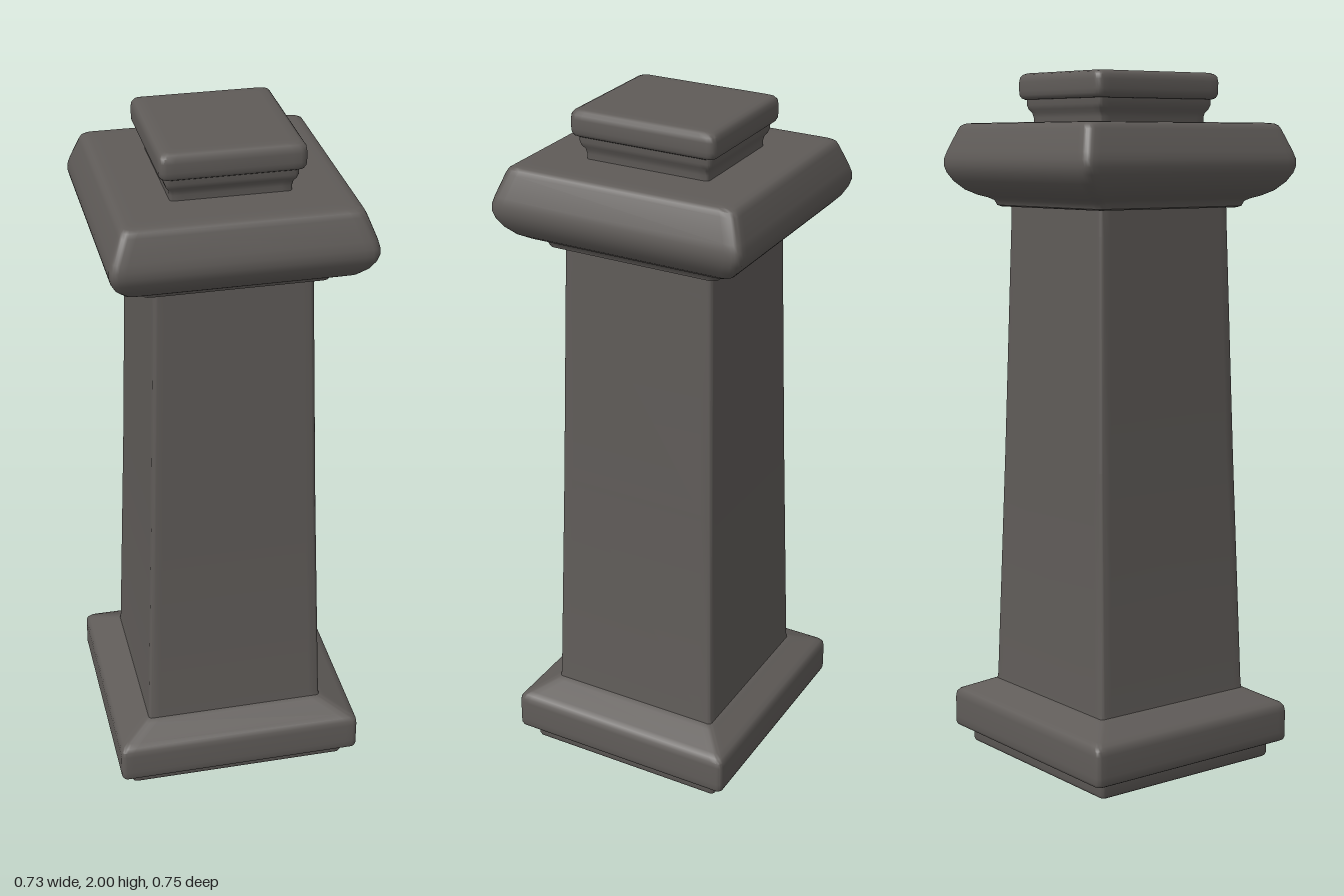
import * as THREE from 'three';
import { toCreasedNormals } from 'three/addons/utils/BufferGeometryUtils.js';

// Rounded rectangle outline, with extra points that keep the flats flat.
function outline(hx, hz, r) {
  const pts = [], steps = 4, ext = 0.02;
  const corners = [[1, 1], [-1, 1], [-1, -1], [1, -1]];
  corners.forEach(([sx, sz], k) => {
    const cx = sx * (hx - r), cz = sz * (hz - r), a0 = k * Math.PI / 2;
    const at = (a, dx, dz) => pts.push([cx + r * Math.cos(a) + dx, cz + r * Math.sin(a) + dz]);
    at(a0, ext * Math.sin(a0), -ext * Math.cos(a0));
    for (let i = 0; i <= steps; i++) at(a0 + (i / steps) * Math.PI / 2, 0, 0);
    const a1 = a0 + Math.PI / 2;
    at(a1, -ext * Math.sin(a1), ext * Math.cos(a1));
  });
  return pts;
}

// Closed moulding from a profile of [height, half width, half depth].
function moulding(name, profile, r, material) {
  const pos = [], index = [];
  const rings = profile.map(([y, hx, hz]) => outline(hx, hz, r).map(([x, z]) => [x, y, z]));
  const n = rings[0].length, last = (rings.length - 1) * n;
  rings.forEach(ring => ring.forEach(p => pos.push(...p)));
  const bottom = pos.length / 3, top = bottom + 1;
  pos.push(0, profile[0][0], 0, 0, profile[profile.length - 1][0], 0);
  for (let j = 0; j < n; j++) {
    const k = (j + 1) % n;
    for (let i = 0; i < last; i += n) {
      index.push(i + j, i + n + j, i + n + k, i + j, i + n + k, i + k);
    }
    index.push(bottom, j, k, top, last + k, last + j);
  }
  const geometry = new THREE.BufferGeometry();
  geometry.setAttribute('position', new THREE.Float32BufferAttribute(pos, 3));
  geometry.setIndex(index);
  const mesh = new THREE.Mesh(toCreasedNormals(geometry, 0.7), material);
  mesh.name = name;
  return mesh;
}

export function createModel() {
  const group = new THREE.Group();
  group.name = 'pedestal';
  const stone = new THREE.MeshStandardMaterial({ color: 0x5f5b58 });
  stone.name = 'dark stone';

  // Foot and stepped base
  group.add(moulding('foot', [
    [0, 0.30, 0.28], [0, 0.318, 0.298], [0.004, 0.325, 0.305],
    [0.012, 0.328, 0.308], [0.06, 0.328, 0.308],
  ], 0.012, stone));
  group.add(moulding('base', [
    [0.05, 0.33, 0.315], [0.05, 0.355, 0.34], [0.054, 0.362, 0.347], [0.062, 0.365, 0.35],
    [0.08, 0.365, 0.35], [0.14, 0.365, 0.35], [0.155, 0.363, 0.348], [0.165, 0.355, 0.341],
    [0.172, 0.34, 0.327], [0.2, 0.28, 0.275], [0.208, 0.262, 0.26],
  ], 0.015, stone));

  // Tapering shaft
  group.add(moulding('shaft', [
    [0.19, 0.268, 0.265], [0.22, 0.264, 0.261], [0.9, 0.24, 0.244],
    [1.55, 0.221, 0.229], [1.64, 0.219, 0.227],
  ], 0.012, stone));

  // Swelling capital
  group.add(moulding('capital', [
    [1.622, 0.23, 0.24], [1.622, 0.245, 0.25], [1.626, 0.255, 0.259], [1.64, 0.26, 0.265],
    [1.648, 0.272, 0.28], [1.655, 0.29, 0.302], [1.67, 0.315, 0.33], [1.695, 0.338, 0.355],
    [1.72, 0.351, 0.37], [1.74, 0.356, 0.376], [1.76, 0.355, 0.375], [1.78, 0.349, 0.369],
    [1.84, 0.325, 0.347], [1.852, 0.319, 0.341], [1.858, 0.31, 0.332], [1.86, 0.295, 0.317],
    [1.86, 0.27, 0.29],
  ], 0.022, stone));

  // Coved neck and top block
  group.add(moulding('neck', [
    [1.85, 0.164, 0.186], [1.875, 0.164, 0.186], [1.888, 0.167, 0.189],
    [1.898, 0.174, 0.196], [1.91, 0.178, 0.2], [1.935, 0.178, 0.2],
  ], 0.012, stone));
  group.add(moulding('topBlock', [
    [1.926, 0.165, 0.187], [1.926, 0.184, 0.206], [1.93, 0.191, 0.213], [1.938, 0.195, 0.217],
    [1.95, 0.196, 0.218], [1.975, 0.196, 0.218], [1.988, 0.194, 0.216], [1.996, 0.188, 0.21],
    [2, 0.178, 0.2], [2, 0.155, 0.177],
  ], 0.02, stone));
  return group;
}
